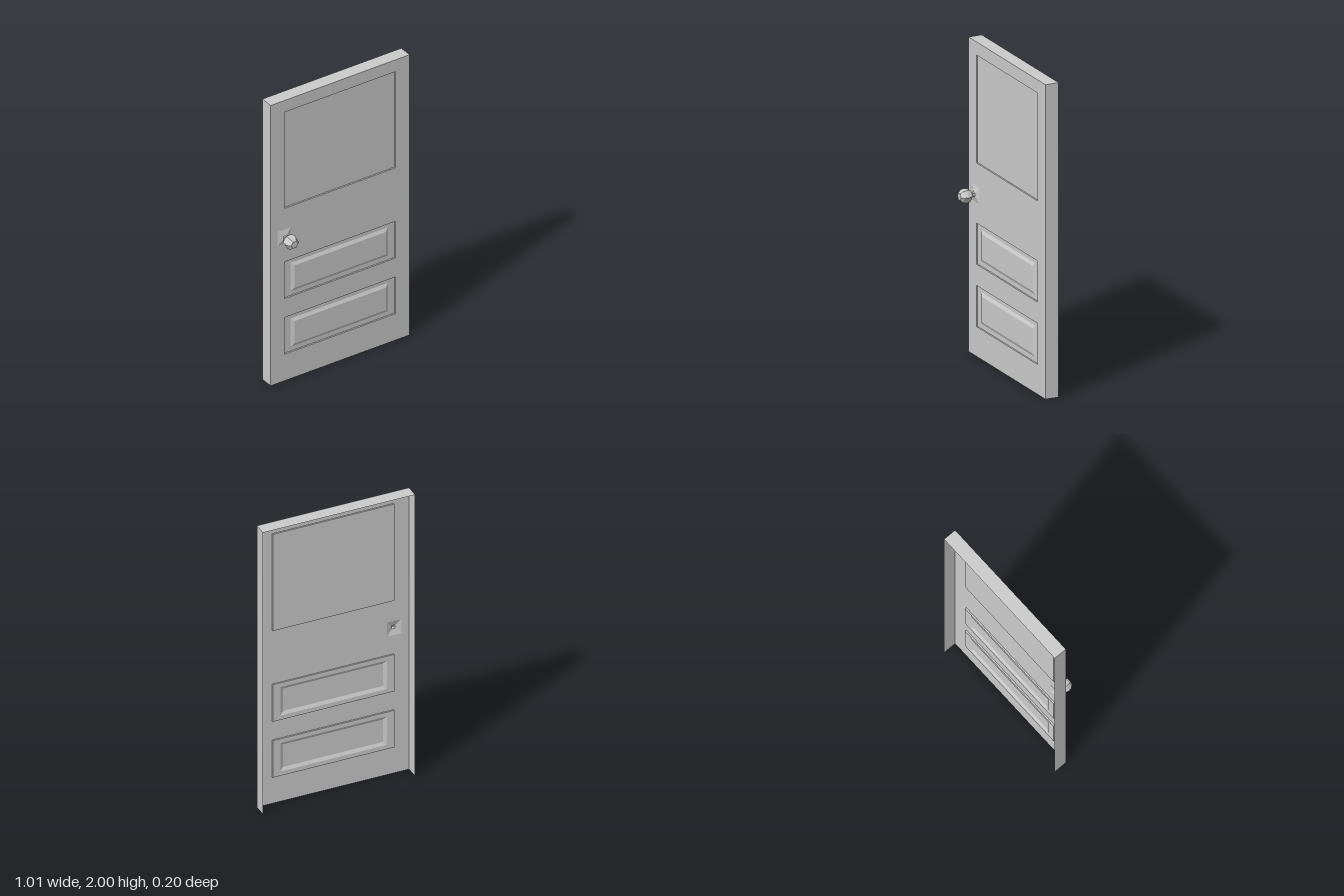
import * as THREE from 'three';

const material = new THREE.MeshStandardMaterial({ color: 0xcccccc, flatShading: true, side: THREE.DoubleSide });
const W = 0.507, H = 2, FRONT = -0.012, BACK = -0.101;

function add(parent, name, geometry) {
  const mesh = new THREE.Mesh(geometry, material);
  mesh.name = name;
  parent.add(mesh);
  return mesh;
}

// Joins successive rectangles [halfWidth, halfHeight, z] and closes the last one.
function steppedRect(rings, capped = true) {
  const corners = ([w, h, z]) => [[-w, -h, z], [w, -h, z], [w, h, z], [-w, h, z]];
  const pos = [];
  const quad = (a, b, c, d) => pos.push(...a, ...b, ...c, ...a, ...c, ...d);
  for (let k = 0; k < rings.length - 1; k++) {
    const a = corners(rings[k]), b = corners(rings[k + 1]);
    for (let i = 0; i < 4; i++) {
      const j = (i + 1) % 4;
      quad(a[i], a[j], b[j], b[i]);
    }
  }
  if (capped) quad(...corners(rings[rings.length - 1]));
  const g = new THREE.BufferGeometry();
  g.setAttribute('position', new THREE.Float32BufferAttribute(pos, 3));
  g.computeVertexNormals();
  return g;
}

function rectPath(cx, cy, w, h) {
  return new THREE.Path([[-w, -h], [-w, h], [w, h], [w, -h]].map(([x, y]) => new THREE.Vector2(cx + x, cy + y)));
}

export function createModel() {
  const door = new THREE.Group();
  door.name = 'door';

  // Recesses in the front sheet; z of each ring is relative to the sheet
  const D = -0.01;
  const raised = [[0.405, 0.131, 0], [0.405, 0.131, D], [0.355, 0.101, D], [0.333, 0.08, 0], [0.333, 0.08, 0]];
  const insets = [
    { name: 'windowPane', x: 0, y: 1.573, rings: [[0.405, 0.343, 0], [0.405, 0.343, D]], capped: true },
    { name: 'upperPanel', x: 0, y: 0.717, rings: raised.slice(0, 4), capped: true },
    { name: 'lowerPanel', x: 0, y: 0.32, rings: raised.slice(0, 4), capped: true },
    // Square plate drawn up into the knob stem
    { name: 'knobPlate', x: -0.409, y: 1.03, capped: false,
      rings: [[0.048, 0.05, 0], [0.012, 0.012, 0.012], [0.011, 0.011, 0.034]] },
  ];

  // Front sheet with an opening for each inset
  const sheet = new THREE.Shape([[-W, 0], [W, 0], [W, H], [-W, H]].map(([x, y]) => new THREE.Vector2(x, y)));
  for (const { name, x, y, rings, capped } of insets) {
    sheet.holes.push(rectPath(x, y, rings[0][0], rings[0][1]));
    add(door, name, steppedRect(rings, capped)).position.set(x, y, FRONT);
  }
  add(door, 'frontSheet', new THREE.ShapeGeometry(sheet)).position.z = FRONT;

  // Side and top edges, open at the back and bottom
  const depth = FRONT - BACK, midZ = (FRONT + BACK) / 2;
  for (const s of [-1, 1]) {
    const edge = add(door, s > 0 ? 'leftEdge' : 'rightEdge', new THREE.PlaneGeometry(depth, H));
    edge.rotation.y = s * Math.PI / 2;
    edge.position.set(s * W, H / 2, midZ);
  }
  const top = add(door, 'topEdge', new THREE.PlaneGeometry(2 * W, depth));
  top.rotation.x = -Math.PI / 2;
  top.position.set(0, H, midZ);

  // Six-sided faceted knob turned about z
  const profile = [[0, 0.021], [0.025, 0.021], [0.041, 0.037], [0.047, 0.061], [0.041, 0.084], [0.025, 0.101], [0, 0.101]];
  const knobShape = new THREE.LatheGeometry(profile.map(([r, z]) => new THREE.Vector2(r, z)), 6, Math.PI / 6);
  knobShape.rotateX(Math.PI / 2);
  const knob = add(door, 'knob', knobShape);
  knob.position.set(-0.409, 1.03, 0);

  return door;
}
